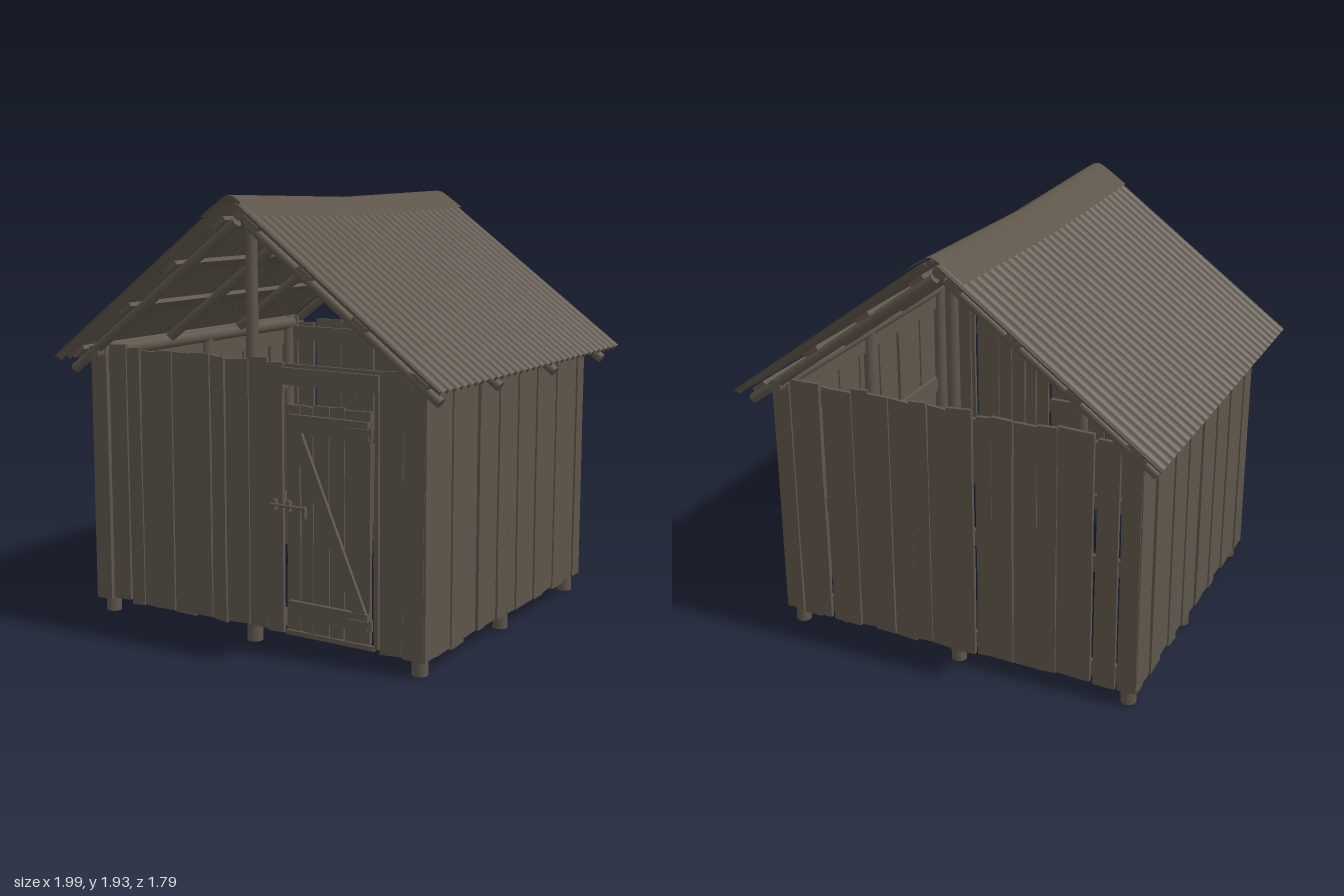
import * as THREE from 'three';

const wood = new THREE.MeshStandardMaterial({ color: 0x5e554a });
wood.name = 'weathered wood';
const sheet = new THREE.MeshStandardMaterial({ color: 0x5e554a, side: THREE.DoubleSide });
sheet.name = 'weathered roof sheet';

let seed = 7;
const rand = (a) => { seed = (seed * 16807) % 2147483647; return (seed / 2147483647 * 2 - 1) * a; };

function add(parent, name, geo, x = 0, y = 0, z = 0, mat = wood) {
  const m = new THREE.Mesh(geo, mat);
  m.name = name;
  m.position.set(x, y, z);
  parent.add(m);
  return m;
}
const box = (parent, name, w, h, d, x, y, z) => add(parent, name, new THREE.BoxGeometry(w, h, d), x, y, z);

// Round pole between two points
function pole(parent, name, a, b, r0, r1 = r0) {
  const A = new THREE.Vector3(...a), B = new THREE.Vector3(...b), dir = B.clone().sub(A);
  const m = add(parent, name, new THREE.CylinderGeometry(r1, r0, dir.length(), 14));
  m.position.copy(A).add(B).multiplyScalar(0.5);
  m.quaternion.setFromUnitVectors(new THREE.Vector3(0, 1, 0), dir.normalize());
}

// Upright plank with uneven edges and ends
function plank(parent, name, x0, x1, y0, y1, z, d = 0.018) {
  const geo = new THREE.BoxGeometry(1, 1, d, 1, 3, 1), p = geo.attributes.position;
  const left = [0, 1, 2, 3].map(() => rand(0.003)), right = [0, 1, 2, 3].map(() => rand(0.003));
  const tilt = rand(0.005);
  for (let i = 0; i < p.count; i++) {
    const s = p.getX(i), row = Math.round((p.getY(i) + 0.5) * 3);
    p.setX(i, s < 0 ? x0 + left[row] : x1 + right[row]);
    p.setY(i, y0 + (y1 - y0) * row / 3 + s * tilt * 2);
  }
  geo.computeVertexNormals();
  add(parent, name, geo, 0, 0, z);
}

// Row of planks between successive edges; listed edges are left open
function planks(parent, edges, gaps, z, y0, y1) {
  for (let i = 0; i < edges.length - 1; i++) {
    const a = edges[i], b = edges[i + 1];
    plank(parent, 'wallPlank', a + (gaps.includes(a) ? 0.007 : 0.001), b - (gaps.includes(b) ? 0.007 : 0.001),
      y0 + rand(0.009), y1 + rand(0.014), z - (i % 2) * 0.007);
  }
}

function wall(root, name, angle) {
  const g = new THREE.Group();
  g.name = name;
  g.rotation.y = angle;
  root.add(g);
  return g;
}

// Horizontal rails on the inside of a wall
function rails(g, half, z, heights) {
  for (const y of heights) box(g, 'wallRail', half * 2, 0.075, 0.025, 0, y, z);
}

// Roof line: height of the sheet at distance x from the ridge, with a sagging middle
const SLOPE = 0.735;
const sag = (z) => -0.02 * (1 - Math.min(1, Math.abs(z) / 0.88));
const roofY = (x) => 1.915 - SLOPE * x;
const L = Math.hypot(1, SLOPE), NX = SLOPE / L, NY = 1 / L;

// Surface over a grid of (u, v), each from 0 to 1
function surface(nu, nv, fn) {
  const pos = [], idx = [];
  for (let j = 0; j <= nv; j++) for (let i = 0; i <= nu; i++) pos.push(...fn(i / nu, j / nv));
  for (let j = 0; j < nv; j++) for (let i = 0; i < nu; i++) {
    const a = j * (nu + 1) + i, b = a + nu + 1;
    idx.push(a, b, a + 1, b, b + 1, a + 1);
  }
  const geo = new THREE.BufferGeometry();
  geo.setAttribute('position', new THREE.Float32BufferAttribute(pos, 3));
  geo.setIndex(idx);
  geo.computeVertexNormals();
  return geo;
}

function buildRoof(root) {
  const g = new THREE.Group();
  g.name = 'roof';
  root.add(g);
  for (const s of [1, -1]) {
    // Corrugated sheet
    const geo = surface(6, 300, (u, v) => {
      const x = 0.03 + u * 0.955, z = (s > 0 ? v - 0.5 : 0.5 - v) * 1.79;
      const n = 0.013 * (2 * Math.sqrt(Math.abs(Math.cos(v * Math.PI * 30))) - 1);
      return [s * (x + NX * n), roofY(x) + NY * n + sag(z) * (1 - u), z];
    });
    add(g, 'corrugatedSheet', geo, 0, 0, 0, sheet);

    // Battens under the sheet
    for (const x of [0.1, 0.36, 0.62, 0.9]) {
      const n = -0.03;
      const b = box(g, 'batten', 0.075, 0.02, 1.7, s * (x + NX * n), roofY(x) + NY * n - 0.004, 0);
      b.rotation.z = -s * Math.atan(SLOPE);
    }
    // Rafters
    for (const z of [0.8, 0.29, -0.26, -0.8]) {
      const n = -0.062, at = (x) => [s * (x + NX * n), roofY(x) + NY * n, z];
      pole(g, 'rafter', at(0.06), at(0.985), 0.023, 0.023);
    }
    // Wall plate log
    pole(g, 'wallPlate', [s * 0.825, 1.22, -0.82], [s * 0.825, 1.22, 0.82], 0.033);
  }
  pole(g, 'ridgePole', [0, 1.85, -0.82], [0, 1.85, 0.82], 0.025);

  // Ridge cap folded over the peak
  add(g, 'ridgeCap', surface(10, 16, (u, v) => {
    const x = -0.15 + u * 0.285, z = (v - 0.5) * 1.77;
    const y = 1.947 - 0.71 * Math.sqrt(x * x + 0.0004);
    return [x, y + sag(z), z];
  }), 0, 0, 0, sheet);
}

function buildDoor(front, z) {
  const g = new THREE.Group();
  g.name = 'door';
  front.add(g);
  const edges = [0.2, 0.27, 0.335, 0.415, 0.49, 0.612];
  for (let i = 0; i < 5; i++) plank(g, 'doorPlank', edges[i] + 0.002, edges[i + 1] - 0.002, 0.1, 1.075 + rand(0.01), z - 0.004);
  const f = z + 0.014;
  box(g, 'doorLedge', 0.39, 0.075, 0.018, 0.415, 0.995, f);
  box(g, 'doorLedge', 0.39, 0.075, 0.018, 0.415, 0.195, f);
  // Diagonal brace
  const shape = new THREE.Shape([[0.22, 0.957], [0.285, 0.957], [0.6, 0.233], [0.535, 0.233]].map((p) => new THREE.Vector2(...p)).reverse());
  add(g, 'doorBrace', new THREE.ExtrudeGeometry(shape, { depth: 0.016, bevelEnabled: false }), 0, 0, z + 0.005);
  // Hinges
  for (const y of [0.99, 0.19]) {
    box(g, 'hingeStrap', 0.11, 0.03, 0.008, 0.575, y, f + 0.012);
    pole(g, 'hingePin', [0.628, y - 0.025, f + 0.01], [0.628, y + 0.025, f + 0.01], 0.009);
  }
  // Latch bar with its keepers
  pole(g, 'latchBar', [0.13, 0.64, f + 0.012], [0.305, 0.64, f + 0.012], 0.007);
  box(g, 'latchKeeper', 0.016, 0.045, 0.03, 0.15, 0.64, f);
  box(g, 'latchKeeper', 0.016, 0.045, 0.03, 0.22, 0.64, f);
  box(g, 'latchHandle', 0.014, 0.05, 0.02, 0.302, 0.622, f + 0.008);
}

export function createModel() {
  const root = new THREE.Group();
  root.name = 'shed';

  // Posts around the edge; the gable posts reach up to the ridge
  for (const z of [0.72, -0.715]) {
    for (const x of [-0.825, 0.82]) pole(root, 'cornerPost', [x, 0, z], [x, 1.22, z], 0.035, 0.03);
    pole(root, 'gablePost', [-0.008, 0, z], [-0.008, 1.87, z], 0.035, 0.024);
  }
  for (const x of [-0.825, 0.82]) pole(root, 'sidePost', [x, 0, -0.01], [x, 1.22, -0.01], 0.035, 0.03);

  // Front wall, open at the doorway
  const front = wall(root, 'frontWall', 0);
  const gaps = [-0.78, -0.67, -0.12, 0.625];
  const leftEdges = [-0.875, -0.78, -0.67, -0.59, -0.5, -0.41, -0.3, -0.2, -0.12, 0.005, 0.1, 0.185];
  planks(front, leftEdges, gaps, 0.768, 0.075, 1.25);
  planks(front, [0.625, 0.655, 0.765, 0.865], gaps, 0.768, 0.08, 1.235);
  box(front, 'doorHeader', 0.47, 0.07, 0.018, 0.42, 1.19, 0.776);
  box(front, 'doorHeaderBoard', 0.46, 0.09, 0.016, 0.42, 1.195, 0.762);
  box(front, 'doorSill', 0.44, 0.02, 0.02, 0.41, 0.085, 0.762);
  for (const y of [0.14, 0.65, 1.17]) box(front, 'wallRail', 1.0, 0.075, 0.025, -0.32, y, 0.742);
  buildDoor(front, 0.768);

  // Back wall
  const back = wall(root, 'backWall', Math.PI);
  const backEdges = [...leftEdges, 0.29, 0.39, 0.47, 0.55, 0.625, 0.69, 0.78, 0.87];
  planks(back, backEdges.map((x) => -x).reverse(), gaps.map((x) => -x), 0.76, 0.075, 1.24);
  rails(back, 0.84, 0.735, [0.14, 0.65, 1.17]);

  // Side walls
  const zs = [0.775, 0.66, 0.55, 0.44, 0.32, 0.24, 0.13, 0.03, -0.06, -0.16, -0.25, -0.35, -0.46, -0.585, -0.69, -0.765];
  const sideGaps = [0.32, 0.03, -0.585];
  const right = wall(root, 'leftWall', Math.PI / 2);
  planks(right, zs.map((z) => -z), sideGaps.map((z) => -z), 0.864, 0.075, 1.22);
  rails(right, 0.73, 0.838, [0.12, 0.68, 1.15]);
  const left = wall(root, 'rightWall', -Math.PI / 2);
  planks(left, [...zs].reverse(), sideGaps, 0.868, 0.075, 1.22);
  rails(left, 0.73, 0.842, [0.12, 0.68, 1.15]);

  buildRoof(root);
  return root;
}
